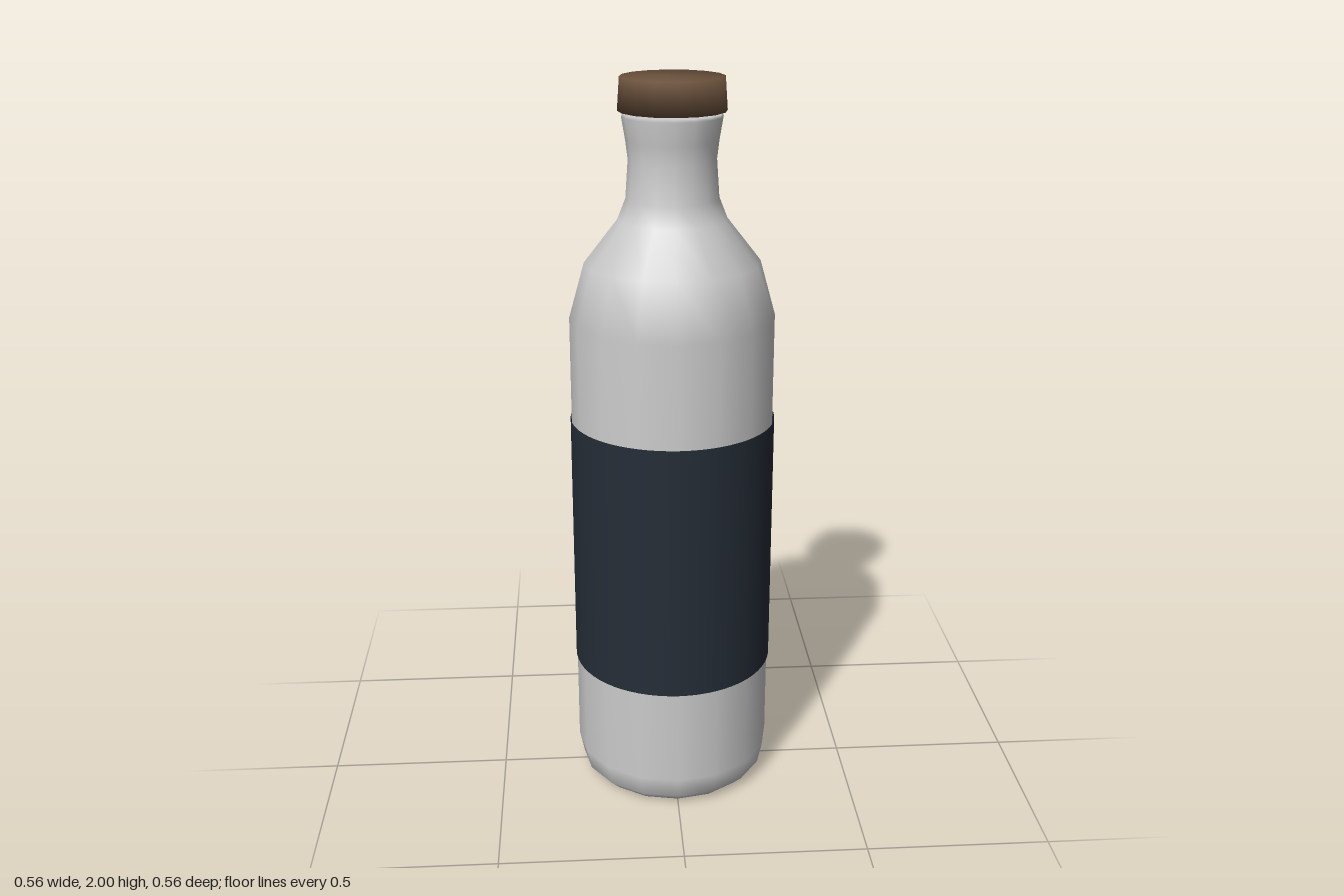
import * as THREE from 'three';

// Spins a profile of [radius, height] pairs, listed bottom to top, into a smooth solid.
function turned(name, profile, sides, color) {
  const points = profile.map(([r, y]) => new THREE.Vector2(r, y));
  const mesh = new THREE.Mesh(
    new THREE.LatheGeometry(points, sides),
    new THREE.MeshStandardMaterial({ color, side: THREE.DoubleSide })
  );
  mesh.name = name;
  return mesh;
}

export function createModel() {
  const bottle = new THREE.Group();
  bottle.name = 'bottle';

  // Body: rounded base, straight wall, sloping shoulder and flared neck
  bottle.add(turned('body', [
    [0, 0], [0.235, 0.002], [0.264, 0.03], [0.277, 0.09],
    [0.277, 1.37], [0.235, 1.52], [0.145, 1.635], [0.123, 1.69],
    [0.116, 1.79], [0.122, 1.84], [0.132, 1.9], [0.128, 1.908], [0, 1.908],
  ], 16, 0xcccccc));

  // Label: thin open sleeve, rounder than the body
  bottle.add(turned('label', [[0.28, 0.365], [0.28, 1.088]], 64, 0x252d37));

  // Cap: slightly tapered stopper
  bottle.add(turned('cap', [
    [0, 1.914], [0.142, 1.914], [0.136, 2], [0, 2],
  ], 16, 0x69503b));

  return bottle;
}
